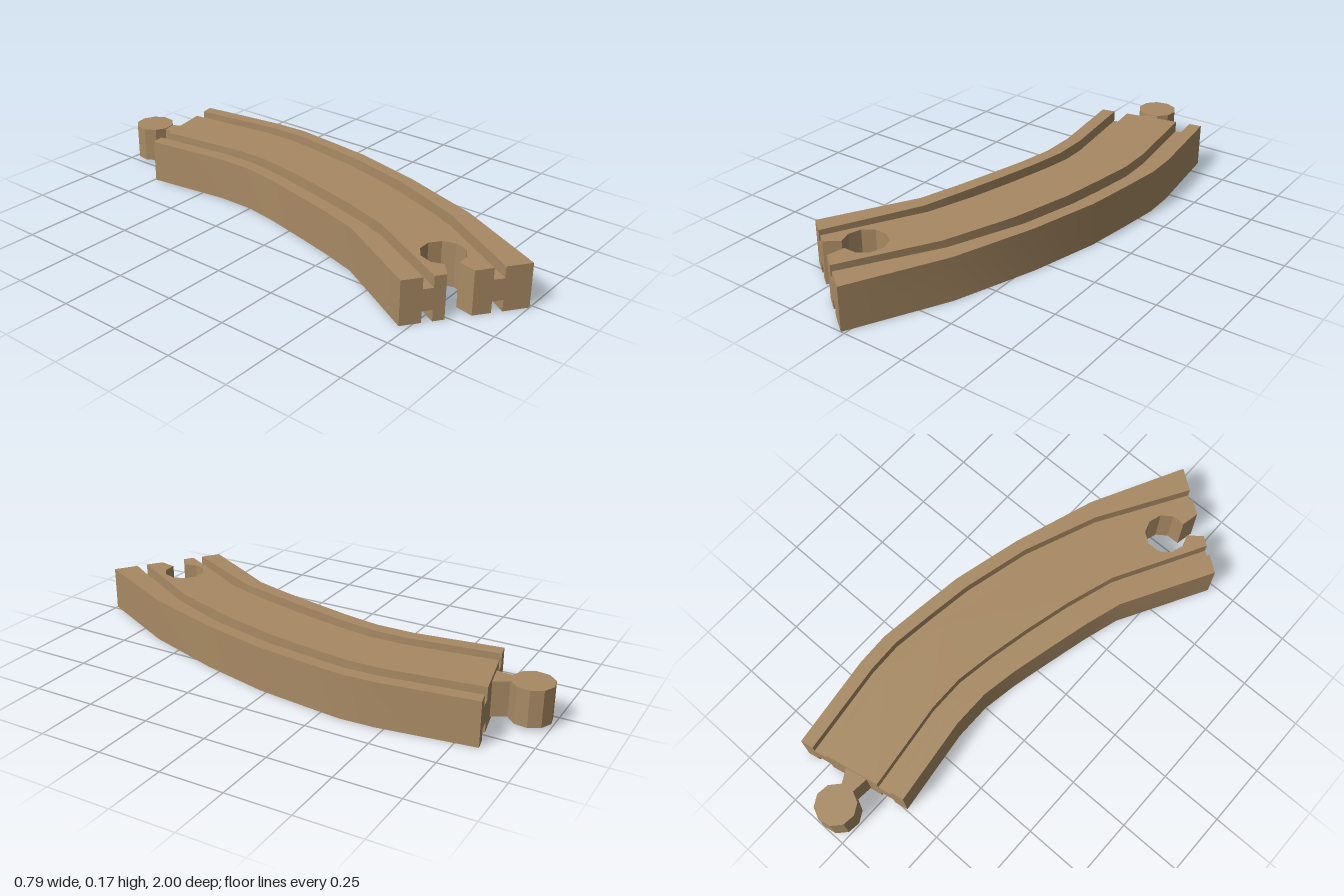
import * as THREE from 'three';
import { toCreasedNormals } from 'three/addons/utils/BufferGeometryUtils.js';

const HEIGHT = 0.175, GROOVE_LOW = 0.045, GROOVE_HIGH = 0.13;

// Cross lines of the curve from back to front: inner x, z, outer x, z
const stations = [
  [-0.095, -0.745, 0.34, -0.835],
  [-0.05, -0.40, 0.39, -0.465],
  [-0.05, -0.25, 0.395, -0.33],
  [-0.075, -0.105, 0.375, -0.16],
  [-0.115, 0.06, 0.35, 0.03],
  [-0.155, 0.22, 0.28, 0.31],
  [-0.20, 0.37, 0.17, 0.635],
  [-0.395, 0.72, -0.015, 1.0],
];

// Strip borders across the width, for the curve and its last two stations
const borders = [0, 0.123, 0.253, 0.753, 0.885, 1];
const nearEnd = [0, 0.14, 0.252, 0.735, 0.845, 1];
const atEnd = [0, 0.168, 0.251, 0.70, 0.788, 1];

function borderLine(k) {
  return stations.map(([x0, z0, x1, z1], i) => {
    const t = (i === 7 ? atEnd : i === 6 ? nearEnd : borders)[k];
    return [x0 + (x1 - x0) * t, z0 + (z1 - z0) * t];
  });
}

function decagon(cx, cz, r, start, count) {
  return Array.from({ length: count }, (_, i) => {
    const a = THREE.MathUtils.degToRad(start + i * 36);
    return [cx + r * Math.cos(a), cz + r * Math.sin(a)];
  });
}

// Plan outline in x, z raised between two heights
function slab(name, points, y0, y1, material) {
  const shape = new THREE.Shape(points.map(([x, z]) => new THREE.Vector2(x, -z)));
  const geo = new THREE.ExtrudeGeometry(shape, { depth: y1 - y0, bevelEnabled: false });
  geo.rotateX(-Math.PI / 2).translate(0, y0, 0);
  const mesh = new THREE.Mesh(toCreasedNormals(geo, 0.5), material);
  mesh.name = name;
  return mesh;
}

export function createModel() {
  const group = new THREE.Group();
  group.name = 'curvedTrack';
  const wood = new THREE.MeshStandardMaterial({ color: 0xa88a64 });
  wood.name = 'wood';

  // Socket: keyhole mouth in the front edge of the deck
  const socket = [
    [-0.264, 0.816],
    ...decagon(-0.145, 0.725, 0.083, 144, 10),
    [-0.185, 0.874],
  ];

  // Rails, thinner groove floors and the wide centre deck
  const names = ['innerRail', 'innerGroove', 'deck', 'outerGroove', 'outerRail'];
  names.forEach((name, k) => {
    const points = [
      ...borderLine(k),
      ...(name === 'deck' ? socket : []),
      ...borderLine(k + 1).reverse(),
    ];
    const groove = k % 2 === 1;
    group.add(slab(name, points, groove ? GROOVE_LOW : 0, groove ? GROOVE_HIGH : HEIGHT, wood));
  });

  // Connector peg and its neck at the back
  group.add(slab('connectorPeg', decagon(0.08, -0.92, 0.08, -11.5, 10), 0.017, 0.16, wood));
  group.add(slab('connectorNeck',
    [[0.068, -0.86], [0.118, -0.86], [0.118, -0.85], [0.155, -0.785], [0.06, -0.765], [0.068, -0.85]],
    0.02, 0.157, wood));

  return group;
}
